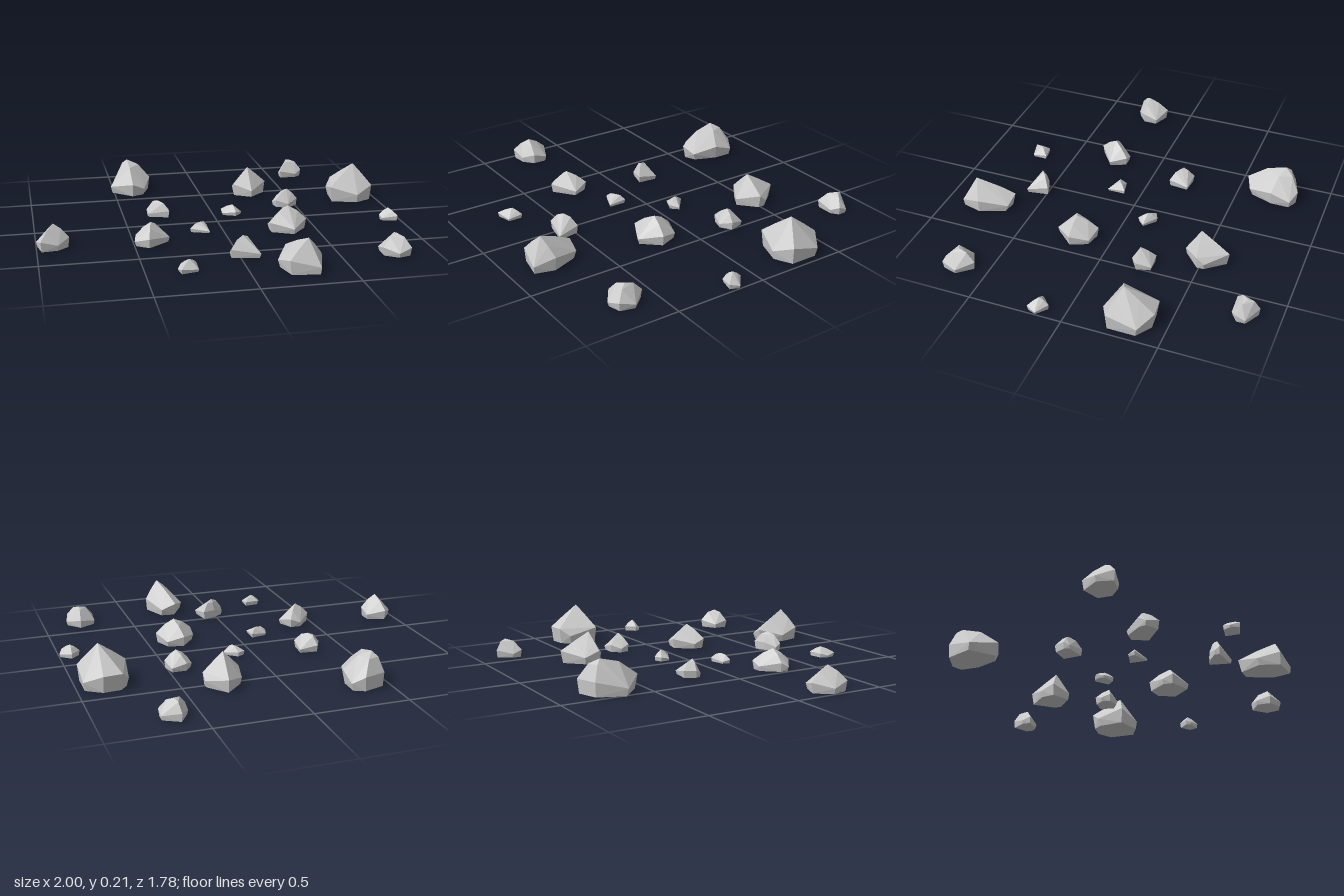
import * as THREE from 'three';
import { ConvexGeometry } from 'three/addons/geometries/ConvexGeometry.js';

const material = new THREE.MeshStandardMaterial({ color: 0xcccccc, flatShading: true });

// A faceted stone: flat foot, wide belly along the outline, sparse crown below the peak.
// peak is [x, y, z]; outline is a list of [x, z]; crown sets how blunt the top is.
function rock(name, peak, outline, crown = 0.78) {
  const top = new THREE.Vector3(...peak);
  const points = [top];
  outline.forEach(([x, z], i) => {
    const at = (spread, y) => new THREE.Vector3(
      THREE.MathUtils.lerp(top.x, x, spread), top.y * y, THREE.MathUtils.lerp(top.z, z, spread));
    points.push(at(0.92, 0), at(1, i % 2 ? 0.22 : 0.42));
    if (i % 2 === 0) points.push(at(0.5, crown));
  });
  const mesh = new THREE.Mesh(new ConvexGeometry(points), material);
  mesh.name = name;
  return mesh;
}

export function createModel() {
  const group = new THREE.Group();
  group.name = 'scatteredRocks';
  group.add(
    // Large boulders
    rock('backRightBoulder', [-0.41, 0.178, -0.75],
      [[-0.34, -0.84], [-0.28, -0.81], [-0.28, -0.7], [-0.33, -0.57], [-0.4, -0.54], [-0.52, -0.65], [-0.46, -0.8]], 0.85),
    rock('leftBoulder', [0.87, 0.21, -0.28],
      [[0.88, -0.44], [0.97, -0.38], [0.97, -0.22], [0.87, -0.17], [0.72, -0.22], [0.74, -0.38], [0.78, -0.43]], 0.72),
    rock('frontBoulder', [0.28, 0.17, 0.82],
      [[0.22, 0.62], [0.3, 0.63], [0.36, 0.78], [0.33, 0.89], [0.18, 0.86], [0.15, 0.74]], 0.74),
    rock('backBoulder', [0.28, 0.165, -0.48],
      [[0.3, -0.64], [0.39, -0.53], [0.39, -0.49], [0.29, -0.4], [0.19, -0.46], [0.2, -0.54]], 0.72),
    // Medium stones
    rock('farRightStone', [-0.91, 0.13, 0.24],
      [[-0.93, 0.13], [-0.83, 0.17], [-0.83, 0.25], [-0.89, 0.3], [-0.98, 0.31], [-1, 0.22]]),
    rock('rightStone', [-0.41, 0.115, 0.27],
      [[-0.35, 0.18], [-0.31, 0.27], [-0.43, 0.36], [-0.5, 0.31], [-0.49, 0.27], [-0.41, 0.18]]),
    rock('middleStone', [0.35, 0.13, 0.19],
      [[0.32, 0.08], [0.41, 0.1], [0.45, 0.2], [0.36, 0.3], [0.24, 0.24], [0.24, 0.18]]),
    rock('frontLeftStone', [0.79, 0.105, 0.66],
      [[0.8, 0.57], [0.87, 0.65], [0.85, 0.73], [0.78, 0.75], [0.71, 0.7], [0.71, 0.62]], 0.88),
    rock('backLeftStone', [0.63, 0.1, -0.83],
      [[0.61, -0.89], [0.7, -0.84], [0.7, -0.79], [0.66, -0.76], [0.56, -0.76], [0.56, -0.81]], 0.9),
    rock('innerLeftStone', [0.45, 0.1, -0.21],
      [[0.41, -0.28], [0.49, -0.28], [0.51, -0.2], [0.45, -0.16], [0.38, -0.18], [0.37, -0.23]]),
    rock('frontMiddleStone', [0.02, 0.105, 0.54],
      [[0.08, 0.49], [0.1, 0.61], [-0.05, 0.58], [-0.05, 0.55], [0.01, 0.51]], 0.85),
    rock('innerRightStone', [-0.31, 0.09, -0.17],
      [[-0.34, -0.24], [-0.24, -0.23], [-0.25, -0.12], [-0.36, -0.15], [-0.37, -0.18]], 0.88),
    // Pebbles
    rock('middlePebble', [0.11, 0.055, -0.12],
      [[0.09, -0.17], [0.16, -0.11], [0.12, -0.07], [0.05, -0.1], [0.05, -0.15]]),
    rock('innerRightPebble', [-0.12, 0.05, 0.13],
      [[-0.08, 0.09], [-0.08, 0.19], [-0.18, 0.15], [-0.17, 0.11]], 0.9),
    rock('farLeftPebble', [0.94, 0.065, 0.14],
      [[0.94, 0.09], [1, 0.14], [0.98, 0.19], [0.9, 0.17], [0.89, 0.14]]),
    rock('frontRightPebble', [-0.28, 0.055, 0.69],
      [[-0.24, 0.65], [-0.24, 0.73], [-0.33, 0.75], [-0.34, 0.7], [-0.32, 0.66]]),
  );
  return group;
}
